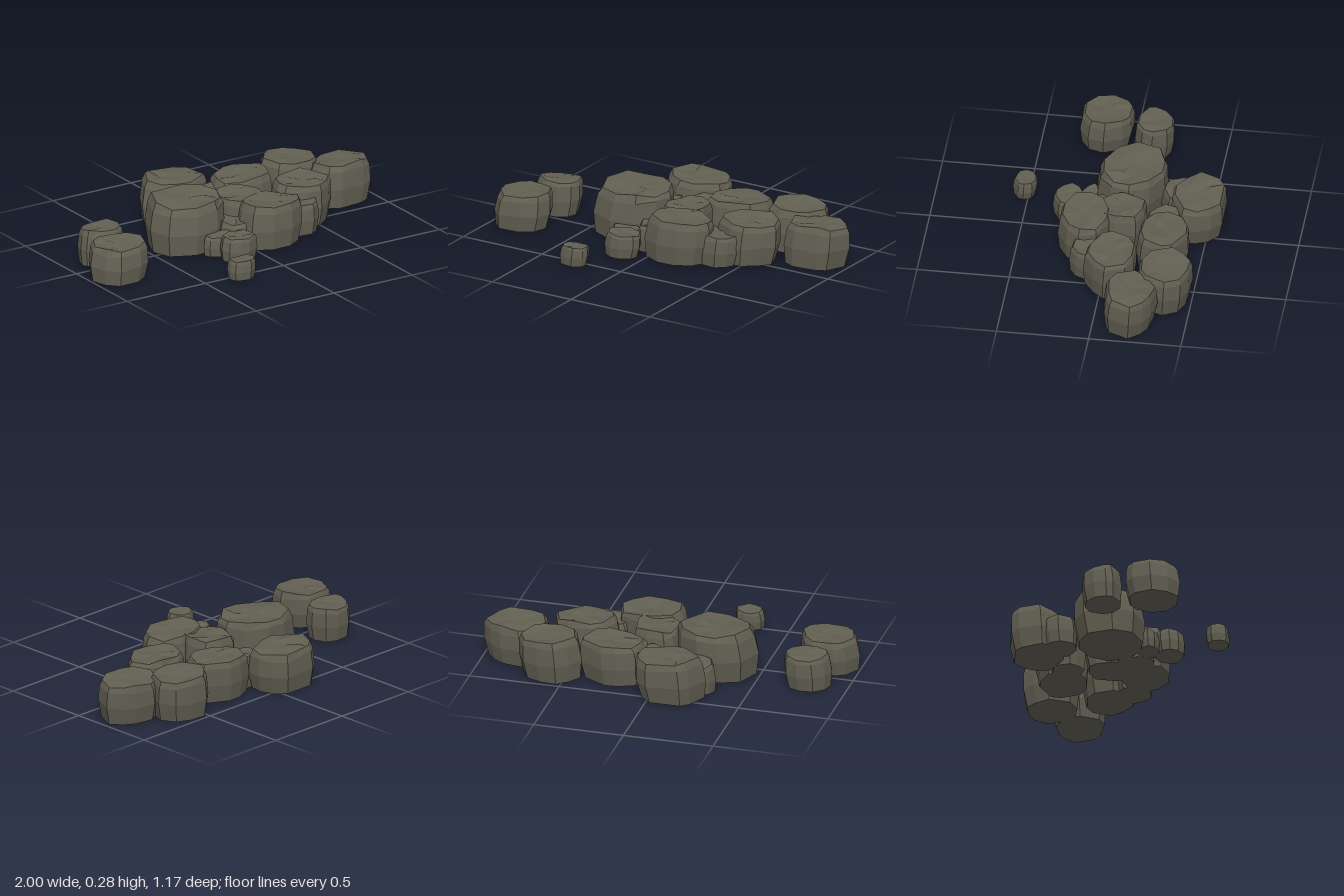
import * as THREE from 'three';

// Each stone: min x, max x, min z, max z of its outline, and its height
const STONES = {
  leftBackStone: [-0.91, -0.65, -0.22, -0.01, 0.2],
  leftFrontStone: [-1, -0.67, 0.01, 0.3, 0.2],
  tallStone: [-0.49, -0.04, -0.25, 0.13, 0.28],
  backStone: [-0.3, 0.09, -0.585, -0.29, 0.245],
  backPebble: [-0.33, -0.1, -0.42, -0.23, 0.17],
  rearMiddleStone: [0.06, 0.43, -0.44, -0.16, 0.235],
  rearPebble: [-0.04, 0.16, -0.37, -0.18, 0.19],
  rightBackStone: [0.41, 0.76, -0.5, -0.2, 0.245],
  rightStone: [0.62, 1, -0.34, -0.05, 0.235],
  centreStone: [-0.07, 0.2, -0.18, 0.11, 0.235],
  rightMiddleStone: [0.29, 0.65, -0.18, 0.1, 0.235],
  frontStone: [-0.04, 0.34, 0, 0.28, 0.235],
  rightFrontPebble: [0.24, 0.48, -0.02, 0.19, 0.17],
  middlePebble: [-0.14, 0.07, -0.03, 0.19, 0.15],
  leftPebble: [-0.28, -0.1, 0.09, 0.21, 0.11],
  frontPebble: [-0.24, -0.03, 0.18, 0.35, 0.13],
  loosePebble: [-0.36, -0.2, 0.46, 0.585, 0.105],
};

// Cross-sections: height share, width share, sideways lean, unevenness
const RINGS = [
  [0, 0, -0.04, 0],
  [0, 0.9, -0.04, 0],
  [0.43, 1, 0, 0.03],
  [0.82, 0.95, 0.04, 0.05],
  [0.96, 0.86, 0.06, 0.06],
  [0.95, 0.45, 0.06, 0.04],
  [0.93, 0, 0.06, 0],
];
const SIDES = 10;

function seeded(seed) {
  let s = seed * 7919 + 17;
  return () => {
    s = (s * 16807) % 2147483647;
    return s / 2147483647;
  };
}

// Uneven rounded outline stretched to fill -1..1 both ways
function makeOutline(rand) {
  const pts = [];
  for (let i = 0; i < SIDES; i++) {
    const a = ((i + (rand() - 0.5) * 0.55) / SIDES) * Math.PI * 2;
    const r = 0.95 + rand() * 0.13;
    pts.push([Math.cos(a) * r, Math.sin(a) * r]);
  }
  for (const k of [0, 1]) {
    const lo = Math.min(...pts.map((p) => p[k]));
    const hi = Math.max(...pts.map((p) => p[k]));
    pts.forEach((p) => { p[k] = ((p[k] - lo) / (hi - lo)) * 2 - 1; });
  }
  return pts;
}

function stoneGeometry(width, depth, height, seed) {
  const rand = seeded(seed);
  for (let i = 0; i < 5; i++) rand();
  const outline = makeOutline(rand);
  const tilt = rand() * Math.PI * 2;
  const rings = RINGS.map(([h, s, lean, rough]) => outline.map(([x, z]) => {
    const slope = (x * Math.cos(tilt) + z * Math.sin(tilt)) * 0.03 * h * s;
    const y = h + slope + (rand() - 0.5) * rough * 1.6;
    return [(x * s + lean) * width / 2, y * height, (z * s - lean) * depth / 2];
  }));

  const pos = [];
  for (let r = 0; r < rings.length - 1; r++) {
    for (let i = 0; i < SIDES; i++) {
      const j = (i + 1) % SIDES;
      const a = rings[r][i], b = rings[r][j];
      const c = rings[r + 1][j], d = rings[r + 1][i];
      if (r > 0) pos.push(...a, ...d, ...b);
      if (r < rings.length - 2) pos.push(...b, ...d, ...c);
    }
  }
  const geo = new THREE.BufferGeometry();
  geo.setAttribute('position', new THREE.Float32BufferAttribute(pos, 3));
  geo.computeVertexNormals(); // unshared corners give flat facets
  return geo;
}

export function createModel() {
  const group = new THREE.Group();
  group.name = 'stoneCluster';
  const stone = new THREE.MeshStandardMaterial({ color: 0x625f52 });
  stone.name = 'stone';

  Object.entries(STONES).forEach(([name, [x0, x1, z0, z1, h]], i) => {
    const mesh = new THREE.Mesh(stoneGeometry(x1 - x0, z1 - z0, h, i + 3), stone);
    mesh.name = name;
    mesh.position.set((x0 + x1) / 2, 0, (z0 + z1) / 2);
    group.add(mesh);
  });
  return group;
}
